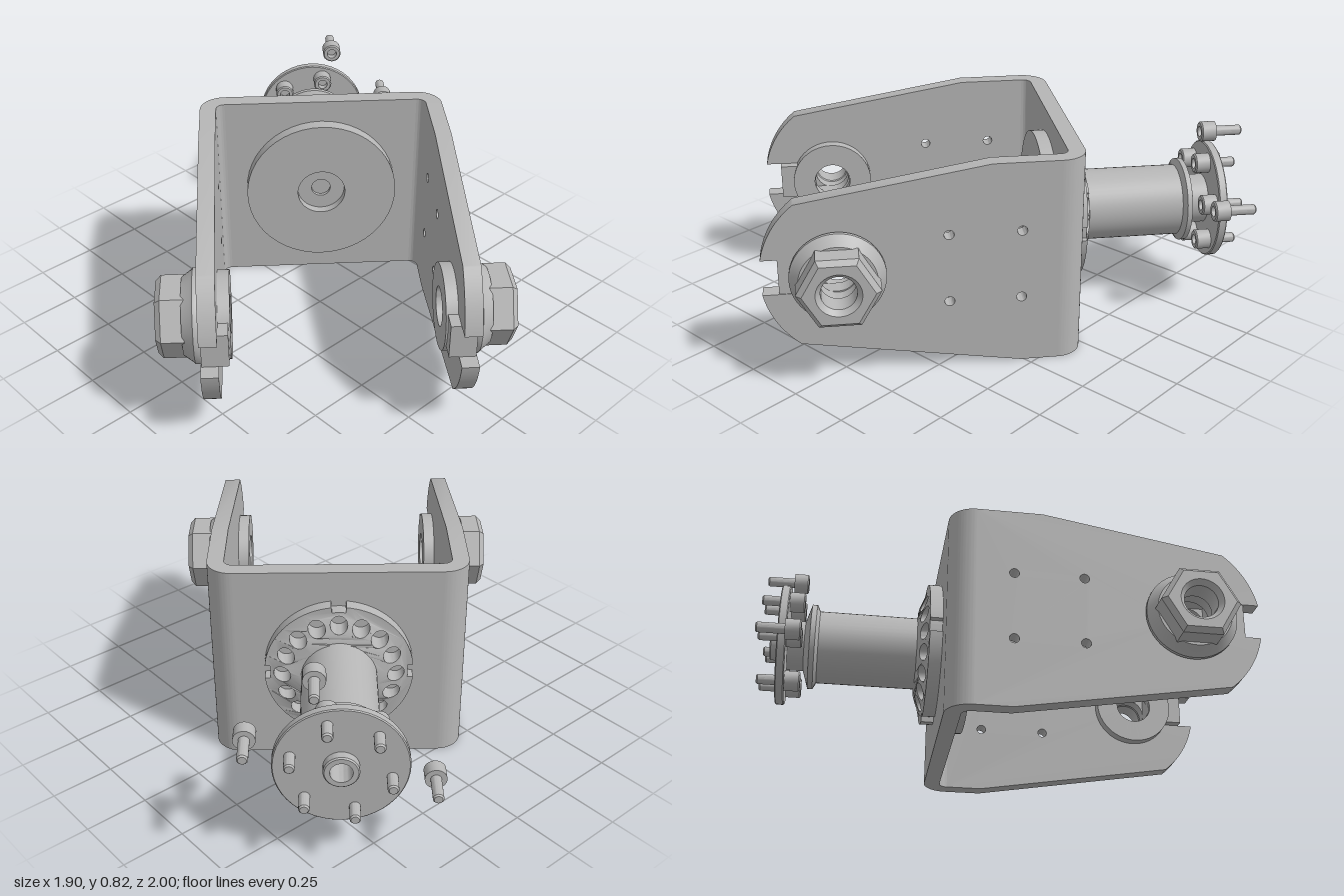
import * as THREE from 'three';
import { toCreasedNormals } from 'three/addons/utils/BufferGeometryUtils.js';

const steel = new THREE.MeshStandardMaterial({ color: 0xb6b6b6 });
steel.name = 'grey steel';

const HEIGHT = 0.82, HALF = 0.495, THICK = 0.065, BEND = 0.1;
const BACK = -0.34;            // outer face of the back plate
const AXIS_Y = 0.413, PIVOT_Z = 0.588;

function part(name, geometry, parent) {
  const mesh = new THREE.Mesh(toCreasedNormals(geometry, 0.6), steel);
  mesh.name = name;
  parent.add(mesh);
  return mesh;
}

function extrude(shape, depth, options = {}) {
  return new THREE.ExtrudeGeometry(shape, { depth, bevelEnabled: false, curveSegments: 20, ...options });
}

function lathe(points, segments = 48) {
  return new THREE.LatheGeometry(points.map(([r, d]) => new THREE.Vector2(r, d)), segments);
}

// Closed ring turned from a rectangular section
function ring(inner, outer, from, to) {
  return lathe([[inner, from], [outer, from], [outer, to], [inner, to], [inner, from]]);
}

function circle(x, y, r) {
  return new THREE.Path().absarc(x, y, r, 0, Math.PI * 2, true);
}

// Tapered side arm with rounded slotted tip, drawn in depth and height
function armShape() {
  const cz = 0.508, cy = 0.418, r = 0.363;
  const shoulder = Math.atan2(0.285, 0.228), slot = Math.asin((0.07) / r);
  const s = new THREE.Shape();
  s.moveTo(BACK + BEND, 0);
  s.lineTo(-0.094, 0);
  s.absarc(cz, cy, r, -shoulder, -slot, false);
  s.lineTo(PIVOT_Z, cy - 0.07);
  s.absarc(PIVOT_Z, cy, 0.07, -Math.PI / 2, Math.PI / 2, true);
  s.absarc(cz, cy, r, slot, shoulder, false);
  s.lineTo(0.018, HEIGHT);
  s.lineTo(BACK + BEND, HEIGHT);
  for (const z of [-0.094, 0.178])
    for (const y of [0.274, 0.549]) s.holes.push(circle(z, y, 0.019));
  return s;
}

function addBracket(body) {
  const bracket = new THREE.Group();
  bracket.name = 'bracket';
  body.add(bracket);
  const back = part('backPlate', new THREE.BoxGeometry(2 * (HALF - BEND), HEIGHT, THICK), bracket);
  back.position.set(0, HEIGHT / 2, BACK + THICK / 2);
  const armGeometry = armShape();
  for (const side of [1, -1]) {
    const name = side > 0 ? 'left' : 'right';
    const arm = part(name + 'Arm', extrude(armGeometry, THICK), bracket);
    arm.rotation.y = -Math.PI / 2;
    arm.position.x = side > 0 ? HALF : -HALF + THICK;

    // Rounded bend between the arm and the back plate
    const start = side > 0 ? 0 : Math.PI / 2, end = start + Math.PI / 2;
    const bend = new THREE.Shape();
    bend.absarc(0, 0, BEND, start, end, false);
    bend.absarc(0, 0, BEND - THICK, end, start, true);
    const corner = part(name + 'Bend', extrude(bend, HEIGHT), bracket);
    corner.rotation.x = -Math.PI / 2;
    corner.position.set(side * (HALF - BEND), 0, BACK + BEND);
  }
}

// Nut, flange, inner washer and locking tab at the tip of each arm
function addPivot(body, side) {
  const pivot = new THREE.Group();
  pivot.name = side > 0 ? 'leftPivot' : 'rightPivot';
  pivot.position.set(0, AXIS_Y, PIVOT_Z);
  pivot.rotation.y = side > 0 ? 0 : Math.PI;
  body.add(pivot);

  const washer = part('innerWasher', ring(0.075, 0.165, 0.385, 0.432), pivot);
  const flange = part('nutFlange', lathe([
    [0.07, 0.493], [0.172, 0.493], [0.178, 0.503], [0.178, 0.518], [0.168, 0.528],
    [0.145, 0.56], [0.07, 0.56], [0.07, 0.493]]), pivot);
  washer.rotation.z = flange.rotation.z = -Math.PI / 2;

  const hex = new THREE.Shape();
  for (let i = 0; i < 6; i++) {
    const a = i * Math.PI / 3;
    hex[i ? 'lineTo' : 'moveTo'](0.154 * Math.cos(a), 0.154 * Math.sin(a));
  }
  hex.closePath();
  hex.holes.push(circle(0, 0, 0.066));
  const nut = part('hexNut', extrude(hex, 0.085, {
    bevelEnabled: true, bevelThickness: 0.02, bevelSize: 0.018, bevelOffset: -0.018, bevelSegments: 1 }), pivot);
  nut.rotation.y = -Math.PI / 2;
  nut.position.x = 0.635;

  const tab = part('lockingTab', new THREE.BoxGeometry(0.1, 0.14, 0.145), pivot);
  tab.position.set(0.442, 0.005, side * 0.143);
}

// Notched ring whose face rises as a cone towards the shaft
function indexRingGeometry() {
  const s = new THREE.Shape(), R = 0.285, half = 0.1;
  for (let i = 0; i < 4; i++) {
    const a = i * Math.PI / 2;
    s.absarc(0, 0, R - 0.022, a - half, a + half, false);
    s.absarc(0, 0, R, a + half, a + Math.PI / 2 - half, false);
  }
  s.holes.push(circle(0, 0, 0.14));
  for (let i = 0; i < 16; i++) {
    const a = i * Math.PI / 8;
    s.holes.push(circle(0.217 * Math.cos(a), 0.217 * Math.sin(a), 0.033));
  }
  const g = extrude(s, 0.05, { curveSegments: 12 });
  const p = g.attributes.position;
  for (let i = 0; i < p.count; i++) {
    if (p.getZ(i) < 0.04) continue;
    const r = Math.hypot(p.getX(i), p.getY(i));
    p.setZ(i, 0.05 + 0.04 * THREE.MathUtils.clamp((0.26 - r) / 0.1, 0, 1));
  }
  return g;
}

function addSpindle(body) {
  const spindle = new THREE.Group();
  spindle.name = 'spindle';
  spindle.position.y = AXIS_Y + 0.002;
  body.add(spindle);

  const indexRing = part('indexRing', indexRingGeometry(), spindle);
  indexRing.rotation.y = Math.PI;
  indexRing.position.z = BACK;

  const turned = new THREE.Group();     // turned parts, pointing backwards
  turned.name = 'turnedParts';
  turned.rotation.x = -Math.PI / 2;
  spindle.add(turned);
  part('innerFlange', ring(0.1, 0.315, 0.222, 0.28), turned);
  part('shaft', lathe([
    [0.04, 0.26], [0.145, 0.26], [0.145, 0.815], [0.17, 0.828], [0.17, 0.848],
    [0.145, 0.856], [0.1, 0.87], [0.1, 0.94], [0.04, 0.94], [0.04, 0.26]]), turned);
  part('endDisc', lathe([
    [0.04, 0.935], [0.236, 0.935], [0.24, 0.939], [0.24, 0.966], [0.236, 0.97],
    [0.064, 0.97], [0.064, 1.0], [0.059, 1.005], [0.04, 1.005], [0.04, 0.935]]), turned);

  // Six fitted screws, and three loose ones further out
  const screw = lathe([
    [0, 0.905], [0.021, 0.905], [0.021, 0.875], [0.035, 0.875], [0.04, 0.88],
    [0.04, 0.935], [0.02, 0.935], [0.02, 1.038], [0.015, 1.044], [0, 1.044]], 20);
  const addScrew = (name, degrees, radius) => {
    const a = THREE.MathUtils.degToRad(degrees);
    const mesh = part(name, screw, spindle);
    mesh.rotation.x = -Math.PI / 2;
    mesh.position.set(radius * Math.cos(a), radius * Math.sin(a), 0);
  };
  for (let i = 0; i < 6; i++) addScrew('fittedScrew', 15 + 60 * i, 0.182);
  for (const degrees of [15, 75, 195]) addScrew('looseScrew', degrees, 0.342);
}

export function createModel() {
  const model = new THREE.Group();
  model.name = 'swivelBracket';
  const turn = new THREE.Group();
  turn.name = 'turnedAssembly';
  turn.rotation.y = THREE.MathUtils.degToRad(-40);
  model.add(turn);
  const body = new THREE.Group();
  body.name = 'assembly';
  body.position.x = 0.02;
  turn.add(body);

  addBracket(body);
  addPivot(body, 1);
  addPivot(body, -1);
  addSpindle(body);
  return model;
}
